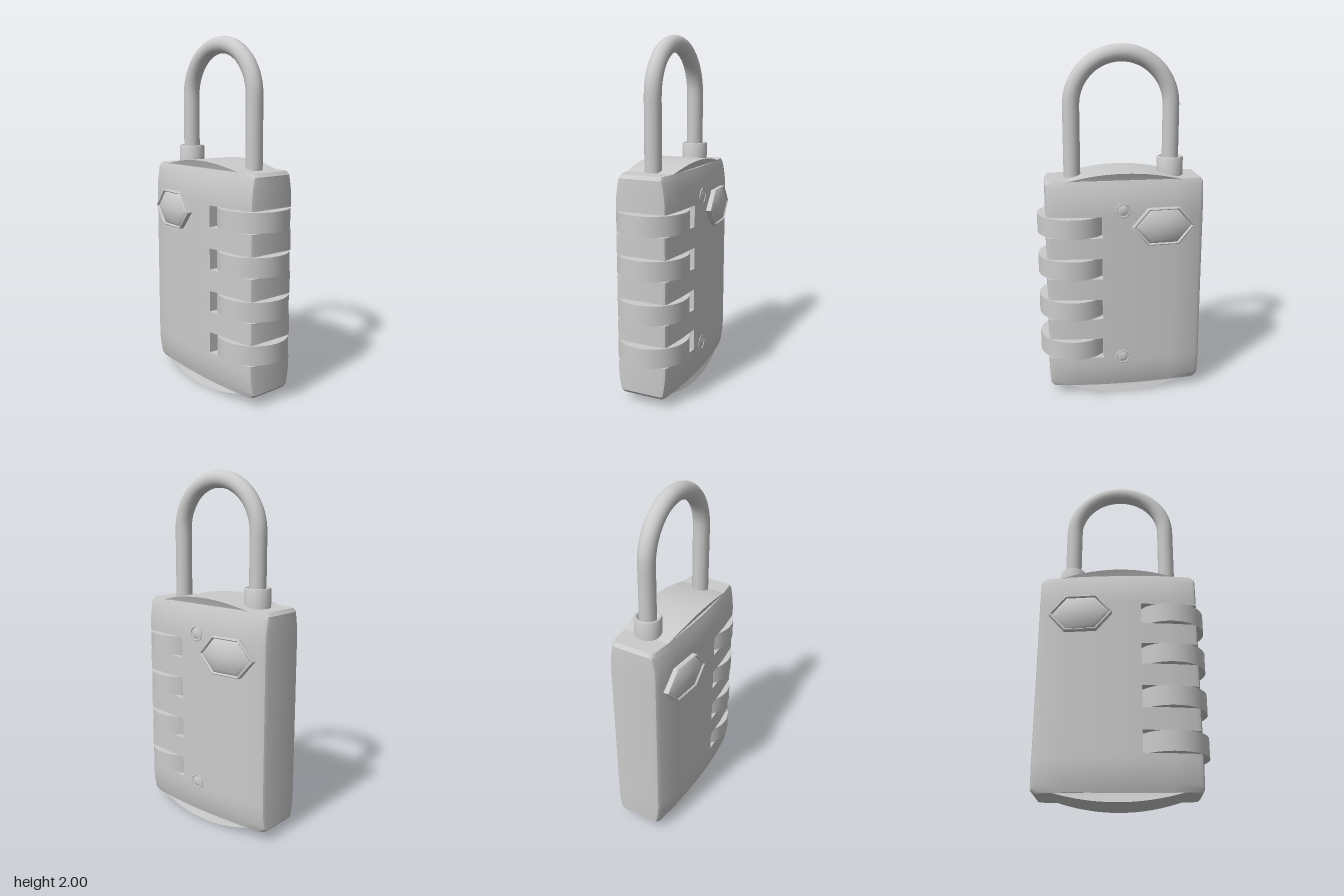
import * as THREE from 'three';
import { toCreasedNormals } from 'three/addons/utils/BufferGeometryUtils.js';

const material = new THREE.MeshStandardMaterial({ color: 0xcccccc, roughness: 0.6 });
const DIAL_YS = [0.3, 0.542, 0.785, 1.025];
const SLOT_HALF = 0.06;
const BOTTOM = 0.05, TOP = 1.28;

function addMesh(parent, name, geometry) {
  const mesh = new THREE.Mesh(geometry, material);
  mesh.name = name;
  parent.add(mesh);
  return mesh;
}

// Move every vertex of a geometry by a rule
function reshape(geometry, rule) {
  const p = geometry.attributes.position;
  const v = new THREE.Vector3();
  for (let i = 0; i < p.count; i++) {
    rule(v.fromBufferAttribute(p, i));
    p.setXYZ(i, v.x, v.y, v.z);
  }
  return geometry;
}

// Half outline of the body seen from above: [x, half depth]
const FULL = [[-0.468, 0.12], [-0.46, 0.138], [-0.44, 0.15], [-0.3, 0.166], [-0.15, 0.177], [0, 0.182],
  [0.105, 0.18], [0.25, 0.17], [0.39, 0.152], [0.408, 0.143], [0.415, 0.125]];
const NOTCHED = FULL.slice(0, 7);

// A slice of the body between two heights, rounding over at the top and bottom
function bodySlice(half, y0, y1) {
  const points = [...half, ...half.map(([x, z]) => [x, -z]).reverse()];
  const shape = new THREE.Shape(points.map(([x, z]) => new THREE.Vector2(x, z)));
  const geometry = new THREE.ExtrudeGeometry(shape, { depth: y1 - y0, steps: 10, bevelEnabled: false });
  geometry.rotateX(-Math.PI / 2).translate(0, y0, 0);
  reshape(geometry, (v) => {
    const t = Math.max(0, v.y - 1.1, 0.22 - v.y) / 0.18;
    v.z *= 1 - 0.17 * t * t;
    const edge = Math.max(0, v.y - 1.26, 0.07 - v.y);
    v.x -= Math.sign(v.x) * edge * edge * 40 * (Math.abs(v.x) > 0.35 ? 1 : 0);
  });
  return toCreasedNormals(geometry, 0.6);
}

// Arched cap, bowed front and back like the body
function archCap(base, rise) {
  const shape = new THREE.Shape();
  const n = 24, x0 = -0.37, x1 = 0.33;
  shape.moveTo(x0, base - Math.sign(rise) * 0.03);
  for (let i = 0; i <= n; i++) {
    const u = (i / n) * 2 - 1;
    shape.lineTo(x0 + (x1 - x0) * i / n, base + rise * (1 - u * u));
  }
  shape.lineTo(x1, base - Math.sign(rise) * 0.03);
  const geometry = new THREE.ExtrudeGeometry(shape, { depth: 0.31, bevelEnabled: false });
  geometry.translate(0, 0, -0.155);
  reshape(geometry, (v) => { v.z *= 1 - 1.2 * (v.x + 0.02) ** 2; });
  return toCreasedNormals(geometry, 0.5);
}

// Six-sided badge: raised rim, groove and bulging middle
function badgeGeometry() {
  const profile = [[1, -0.03], [1, 0.012], [0.95, 0.016], [0.91, 0.012], [0.89, 0.006], [0.86, 0.009]]
    .map(([r, h]) => new THREE.Vector2(r, h));
  for (let i = 1; i <= 8; i++) {
    const r = 0.86 * (1 - i / 8);
    profile.push(new THREE.Vector2(r, 0.009 + 0.028 * (1 - (r / 0.86) ** 2)));
  }
  const geometry = new THREE.LatheGeometry(profile, 6, Math.PI / 2);
  geometry.rotateX(Math.PI / 2).scale(0.177, 0.121, 1);
  // Lean with the bow of the case
  reshape(geometry, (v) => { v.z += v.x * 0.08; });
  return toCreasedNormals(geometry, 0.7);
}

export function createModel() {
  const lock = new THREE.Group();
  lock.name = 'combinationPadlock';

  // Case: full slices between the dials, shortened slices at the dials
  const body = new THREE.Group();
  body.name = 'body';
  lock.add(body);
  let y = BOTTOM;
  for (const dialY of DIAL_YS) {
    addMesh(body, 'bodySlice', bodySlice(FULL, y, dialY - SLOT_HALF));
    addMesh(body, 'dialSlot', bodySlice(NOTCHED, dialY - SLOT_HALF, dialY + SLOT_HALF));
    y = dialY + SLOT_HALF;
  }
  addMesh(body, 'bodySlice', bodySlice(FULL, y, TOP));
  addMesh(body, 'topCap', archCap(1.268, 0.052));
  addMesh(body, 'bottomCap', archCap(0.055, -0.055));

  // Number dials
  const dialGeometry = new THREE.CylinderGeometry(0.2, 0.2, 0.11, 28);
  for (const dialY of DIAL_YS) {
    addMesh(lock, 'dial', dialGeometry).position.set(0.262, dialY, -0.003);
  }

  // Shackle
  const cx = -0.018, r = 0.278, archY = 1.675;
  const path = new THREE.CurvePath();
  const at = (x, py) => new THREE.Vector3(x, py, -0.004);
  const arch = [];
  for (let i = 0; i <= 24; i++) {
    const a = Math.PI * (1 - i / 24);
    arch.push(at(cx + r * Math.cos(a), archY + r * Math.sin(a)));
  }
  path.add(new THREE.LineCurve3(at(cx - r, 1.2), arch[0]));
  path.add(new THREE.CatmullRomCurve3(arch));
  path.add(new THREE.LineCurve3(arch[24], at(cx + r, 1.2)));
  addMesh(lock, 'shackle', new THREE.TubeGeometry(path, 80, 0.047, 16));

  // Collar round the pivoting leg
  const collarProfile = [[0.074, 0], [0.074, 0.12], [0.07, 0.128], [0.062, 0.128], [0.058, 0.12], [0.046, 0.11]]
    .map(([x, h]) => new THREE.Vector2(x, h));
  const collar = toCreasedNormals(new THREE.LatheGeometry(collarProfile, 24), 0.6);
  addMesh(lock, 'shackleCollar', collar).position.set(cx - r, 1.258, -0.004);

  // Badges front and back
  const badge = badgeGeometry();
  addMesh(lock, 'frontBadge', badge).position.set(-0.232, 1.025, 0.184);
  const back = addMesh(lock, 'backBadge', badge.clone().scale(-1, 1, 1));
  // Reversed corner order keeps the mirrored faces outward
  const p = back.geometry.attributes;
  for (const attribute of [p.position, p.normal]) {
    const a = new THREE.Vector3(), b = new THREE.Vector3();
    for (let i = 0; i < attribute.count; i += 3) {
      a.fromBufferAttribute(attribute, i + 1);
      b.fromBufferAttribute(attribute, i + 2);
      attribute.setXYZ(i + 1, b.x, b.y, b.z);
      attribute.setXYZ(i + 2, a.x, a.y, a.z);
    }
  }
  back.rotation.y = Math.PI;
  back.position.set(-0.232, 1.025, -0.184);

  // Rivets on the back
  const rivetProfile = [[0.045, -0.02], [0.045, 0.003], [0.036, 0.004], [0.033, -0.001], [0.02, 0.005], [0, 0.007]]
    .map(([x, h]) => new THREE.Vector2(x, h));
  const rivet = toCreasedNormals(new THREE.LatheGeometry(rivetProfile, 16).rotateX(-Math.PI / 2), 0.6);
  for (const rivetY of [0.24, 1.12]) {
    addMesh(lock, 'rivet', rivet).position.set(-0.005, rivetY, -0.181);
  }
  return lock;
}
